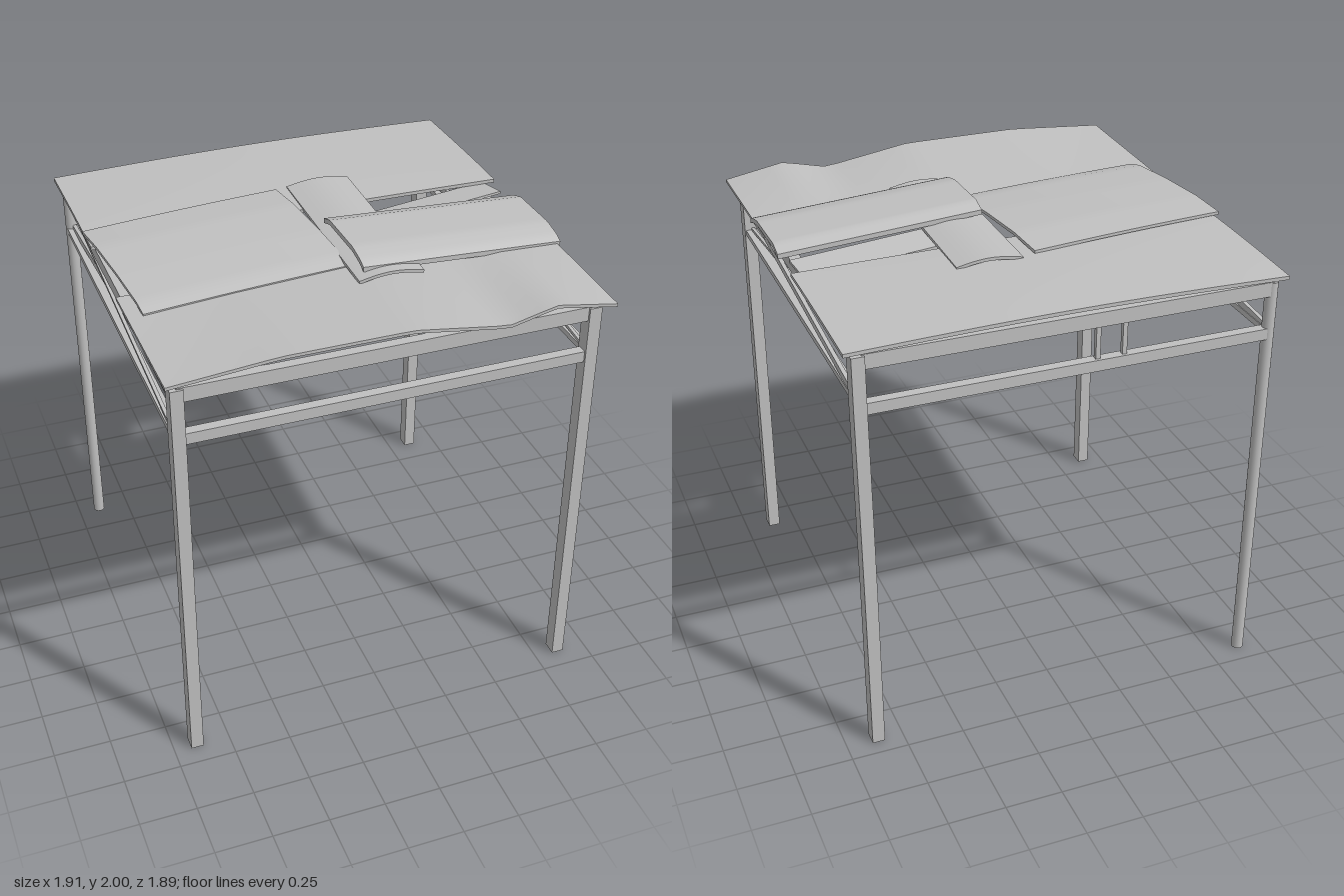
import * as THREE from 'three';

const metal = new THREE.MeshStandardMaterial({ color: 0xc0c0c0 });
metal.name = 'grey metal';

export function createModel() {
  const model = new THREE.Group();
  model.name = 'shelter';

  const add = (name, geometry) => {
    const mesh = new THREE.Mesh(geometry, metal);
    mesh.name = name;
    model.add(mesh);
    return mesh;
  };
  const box = (name, w, h, d, x, y, z) => {
    const mesh = add(name, new THREE.BoxGeometry(w, h, d));
    mesh.position.set(x, y, z);
    return mesh;
  };

  // piecewise linear height through [position, height] points, eased for smooth bends
  const profile = (points) => (s) => {
    for (let i = 1; i < points.length; i++) {
      const [a, ya] = points[i - 1], [b, yb] = points[i];
      if (s <= b || i === points.length - 1) {
        const t = THREE.MathUtils.clamp((s - a) / (b - a), 0, 1);
        return ya + (yb - ya) * t;
      }
    }
  };

  // thin bent sheet: corners are [x, z] in order back left, back right, front right, front left
  const sheet = (name, [bl, br, fr, fl], thickness, height) => {
    const geo = new THREE.BoxGeometry(1, thickness, 1, 28, 1, 20);
    const p = geo.attributes.position;
    for (let i = 0; i < p.count; i++) {
      const u = p.getX(i) + 0.5, v = p.getZ(i) + 0.5;
      const at = (k) => (1 - v) * ((1 - u) * bl[k] + u * br[k]) + v * ((1 - u) * fl[k] + u * fr[k]);
      p.setXYZ(i, at(0), height(u, v) + p.getY(i) - thickness / 2, at(1));
    }
    geo.computeVertexNormals();
    return add(name, geo);
  };
  const rect = (x0, x1, z0, z1) => [[x0, z0], [x1, z0], [x1, z1], [x0, z1]];

  const XL = -0.898, XR = 0.862, ZF = 0.882, ZB = -0.902, TOP = 1.87;

  // legs: two square front legs, one round back leg and one slightly bent back leg
  for (const x of [XL, XR]) box('frontLeg', 0.055, TOP, 0.065, x, TOP / 2, ZF);
  add('roundBackLeg', new THREE.CylinderGeometry(0.027, 0.027, TOP, 16)).position.set(XL, TOP / 2, ZB);
  const bent = new THREE.BoxGeometry(0.055, TOP, 0.065, 1, 8, 1);
  const bp = bent.attributes.position;
  for (let i = 0; i < bp.count; i++) {
    const t = bp.getY(i) / TOP + 0.5;
    bp.setX(i, bp.getX(i) + 0.016 * Math.min(1, t * 1.1));
    bp.setZ(i, bp.getZ(i) - 0.008 * Math.sin(Math.PI * t));
  }
  bent.computeVertexNormals();
  add('bentBackLeg', bent).position.set(XR, TOP / 2, ZB);

  // top beams and lower rails
  const midX = (XL + XR) / 2, midZ = (ZF + ZB) / 2;
  for (const z of [ZF, ZB]) {
    box('topBeam', XR - XL, 0.065, 0.045, midX, 1.842, z);
    box('lowerRail', XR - XL, 0.05, 0.045, midX, 1.638, z);
  }
  for (const x of [XL, XR]) {
    box('sideTopBeam', 0.05, 0.055, ZF - ZB, x, 1.847, midZ);
    box('sideLowerRail', 0.045, 0.025, ZF - ZB, x, 1.652, midZ);
  }

  // crossed braces on both sides
  const brace = (x, yFront, yBack, w, h) => {
    const dz = ZF - ZB, dy = yBack - yFront;
    const mesh = box('crossBrace', w, h, Math.hypot(dz, dy), x, (yFront + yBack) / 2, midZ);
    mesh.rotation.x = Math.atan2(dy, dz);
  };
  for (const x of [XL, XR]) {
    brace(x + 0.01, 1.81, 1.665, 0.018, 0.03);
    brace(x - 0.01, 1.665, 1.835, 0.015, 0.013);
  }

  // short posts between the back rails
  for (const x of [-0.237, -0.12]) box('shortPost', 0.02, 0.16, 0.02, x, 1.735, ZB);

  // large roof sheets
  const frontWave = profile([[0, 1.915], [0.24, 1.953], [0.53, 1.953], [0.745, 1.89], [0.855, 1.94], [1, 1.892]]);
  sheet('frontRoofSheet', rect(-0.95, 0.94, 0.21, 0.945), 0.014,
    (u, v) => 1.9 + (frontWave(u) - 1.9) * v);
  sheet('backRoofSheet', rect(-0.95, 0.94, -0.948, -0.215), 0.016,
    (u, v) => 1.902 + 0.018 * Math.sin(Math.PI * u) * (1 - 0.5 * v) + 0.012 * Math.sin(Math.PI * v * 0.6));

  // loose patch sheets lying over the gap
  const patchFall = profile([[0, 1.938], [0.25, 1.95], [0.6, 1.945], [0.9, 1.93], [1, 1.912]]);
  sheet('leftPatchSheet', [[-0.96, -0.32], [-0.05, -0.415], [0.025, 0.31], [-0.885, 0.4]], 0.014,
    (u, v) => patchFall(v) + 0.004 * Math.sin(Math.PI * u));
  const arch = profile([[0, 1.975], [0.15, 1.998], [0.72, 1.998], [0.92, 1.98], [1, 1.962]]);
  sheet('rightPatchSheet', [[0.03, -0.01], [0.945, -0.028], [0.953, 0.415], [0.04, 0.43]], 0.022,
    (u, v) => arch(v) - 0.055 * u);
  sheet('middlePatchSheet', [[0.01, -0.44], [0.305, -0.44], [0.29, 0.48], [0.003, 0.48]], 0.014,
    (u) => 1.93 + 0.02 * Math.sin(Math.PI * u));
  sheet('loosePlank', [[0.15, -0.11], [0.89, -0.245], [0.912, -0.09], [0.17, 0.045]], 0.012,
    (u, v) => 1.895 + 0.02 * v);

  return model;
}
